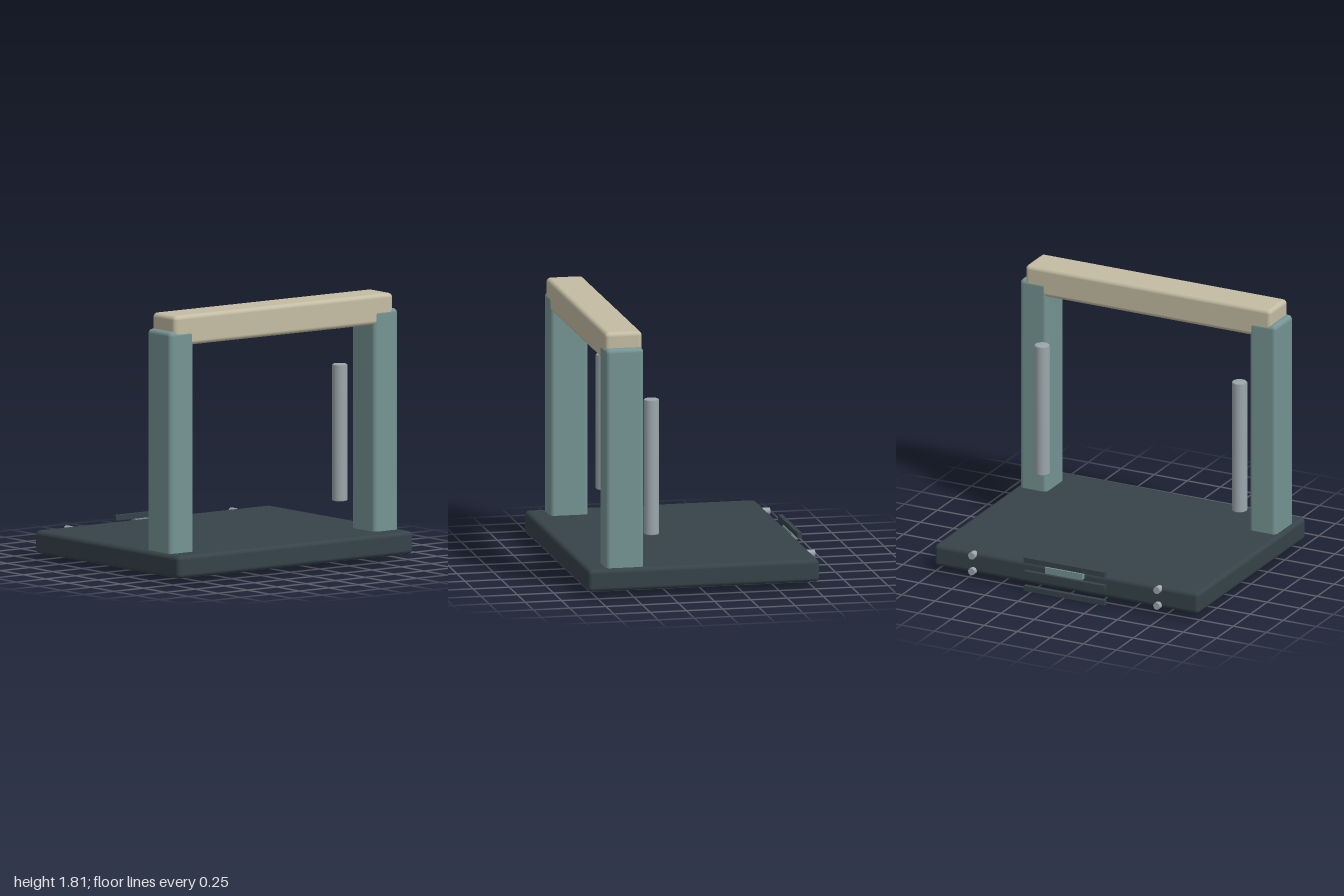
import * as THREE from 'three';
import { RoundedBoxGeometry } from 'three/addons/geometries/RoundedBoxGeometry.js';

const material = (name, color) => {
  const m = new THREE.MeshStandardMaterial({ color });
  m.name = name;
  return m;
};

export function createModel() {
  const slate = material('dark slate', 0x36434a);
  const teal = material('muted teal', 0x759493);
  const cream = material('warm cream', 0xc4bca3);
  const steel = material('steel grey', 0x9ca7ab);

  const model = new THREE.Group();
  const add = (name, geometry, mat, x, y, z) => {
    const mesh = new THREE.Mesh(geometry, mat);
    mesh.name = name;
    mesh.position.set(x, y, z);
    model.add(mesh);
    return mesh;
  };
  // Rounded box given by its extents on each axis
  const block = (name, mat, [x0, x1], [y0, y1], [z0, z1], radius) =>
    add(name, new RoundedBoxGeometry(x1 - x0, y1 - y0, z1 - z0, 3, radius), mat,
      (x0 + x1) / 2, (y0 + y1) / 2, (z0 + z1) / 2);

  // Base slab and top beam
  block('base', slate, [-1, 1], [0.045, 0.2], [-0.78, 0.815], 0.03);
  block('topBeam', cream, [-0.93, 0.93], [1.605, 1.812], [0.427, 0.683], 0.03);

  // Rod profile with a small chamfer at both ends
  const rodProfile = [[0, -0.465], [0.046, -0.465], [0.053, -0.458], [0.053, 0.458], [0.046, 0.465], [0, 0.465]]
    .map(([r, y]) => new THREE.Vector2(r, y));

  for (const side of [-1, 1]) {
    const label = side > 0 ? 'left' : 'right';
    // Uprights
    const post = block(label + 'Post', teal, [0.765, 0.97], [0.15, 1.705], [0.425, 0.685], 0.03);
    post.position.x *= side;
    // Free-standing rods behind the uprights
    add(label + 'Rod', new THREE.LatheGeometry(rodProfile, 20), steel, side * 0.747, 0.84, 0.325);
    // Round studs on the back edge
    for (const y of [0.18, 0.067]) {
      const stud = add(label + 'Stud', new THREE.CylinderGeometry(0.025, 0.025, 0.05, 16), steel, side * 0.7, y, -0.786);
      stud.rotation.x = Math.PI / 2;
    }
  }

  // Slats and small plate on the back edge
  for (const y of [0.222, 0.125, 0.018]) {
    add('backSlat', new THREE.BoxGeometry(0.61, 0.036, 0.03), slate, 0, y, -0.795);
  }
  add('backPlate', new THREE.BoxGeometry(0.28, 0.045, 0.045), teal, 0, 0.18, -0.7975);

  return model;
}
